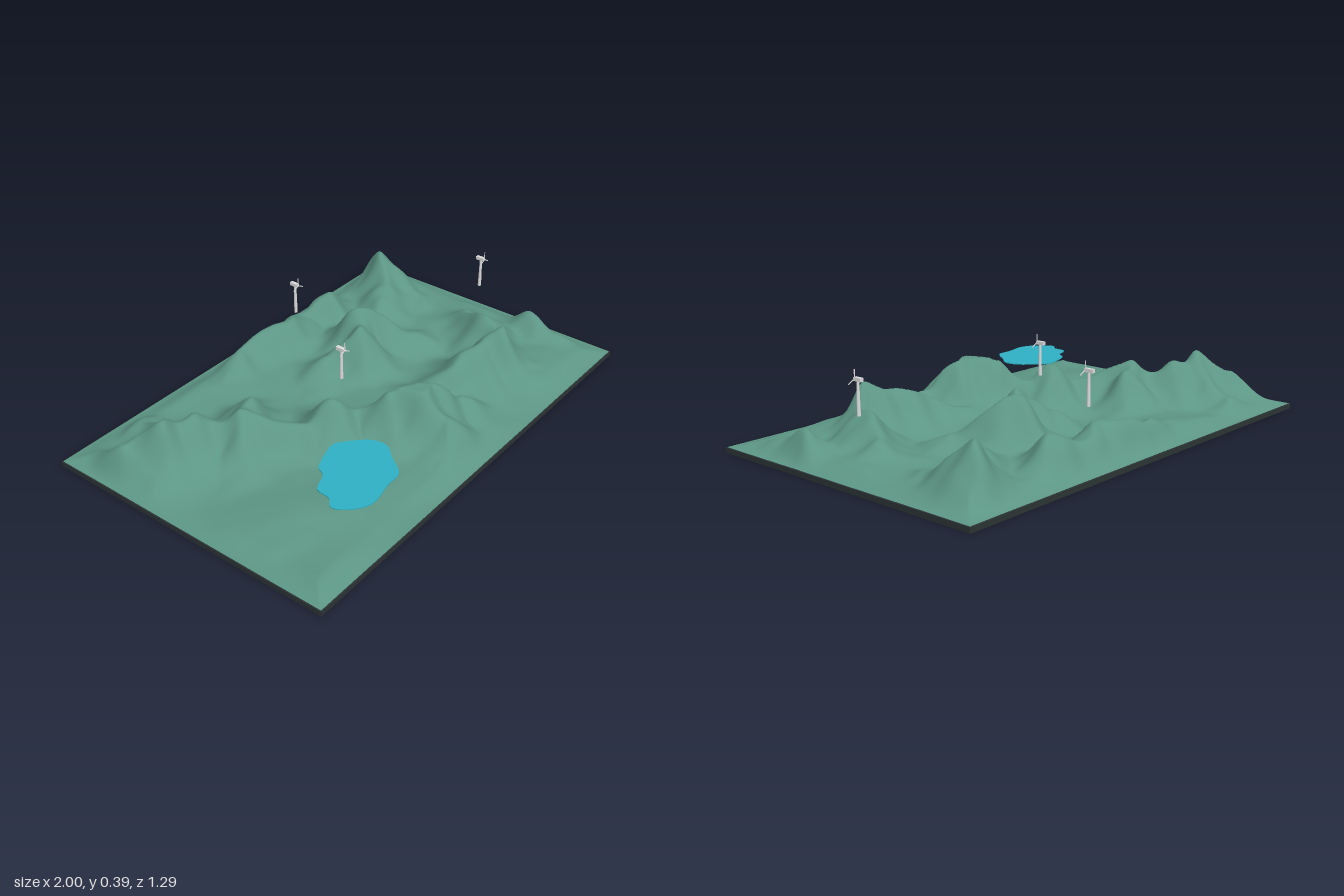
import * as THREE from 'three';

const mat = (name, color) => Object.assign(new THREE.MeshStandardMaterial({ color }), { name });

// Mountain crests: each is a line of [x, z, height]
const ridges = [
  [[-.9, -.4, .15], [-.77, -.31, .235], [-.7, -.29, .2], [-.64, -.27, .215], [-.58, -.19, .165], [-.53, -.13, .21],
    [-.36, .03, .14], [-.24, .09, .215], [-.16, .16, .15], [-.1, .25, .235], [0, .31, .28], [.06, .34, .24], [.17, .42, .13]],
  [[-.53, -.13, .18], [-.43, -.2, .2]],
  [[-.77, -.31, .19], [-.68, -.52, .09]],
  [[.08, -.2, .13], [.21, -.14, .235], [.26, -.17, .2], [.32, -.22, .245], [.5, -.06, .1]],
  [[.15, .18, .09], [.45, .32, .205], [.55, .33, .235], [.63, .28, .16], [.69, .2, .185], [.76, .04, .12]],
  [[.55, .33, .2], [.55, .5, .08]],
  [[.91, .27, .145], [.89, .42, .08]],
  [[-.3, -.49, .06], [-.1, -.54, .12], [.05, -.54, .15], [.18, -.49, .16], [.3, -.52, .12], [.43, -.5, .17]],
  [[.6, -.3, .13], [.7, -.37, .15], [.81, -.465, .215]],
  [[.81, -.465, .19], [.81, -.25, .07]],
  [[-.02, .34, .23], [-.04, .48, .17], [-.14, .56, .07]],
];

// Height of one crest at a point, falling off to both sides
function crest(line, x, z) {
  let best = 0;
  for (let i = 1; i < line.length; i++) {
    const [ax, az, ah] = line[i - 1], [bx, bz, bh] = line[i];
    const dx = bx - ax, dz = bz - az;
    const t = THREE.MathUtils.clamp(((x - ax) * dx + (z - az) * dz) / (dx * dx + dz * dz), 0, 1);
    const d = Math.hypot(x - ax - t * dx, z - az - t * dz);
    const s = t * t * (3 - 2 * t);
    best = Math.max(best, (ah + (bh - ah) * s) / Math.pow(1 + (d / 0.13) ** 1.7, 1.4));
  }
  return best;
}

function height(x, z) {
  // Gentle warping gives the slopes gullies
  const wx = x + 0.011 * Math.sin(23 * z + 7 * x) + 0.007 * Math.sin(47 * z - 19 * x);
  const wz = z + 0.011 * Math.sin(21 * x - 5 * z) + 0.007 * Math.sin(43 * x + 17 * z);
  // Rolling lowland
  const low = 0.046 + 0.01 * Math.sin(9 * wx + 4 * wz) + 0.008 * Math.sin(13 * wz - 6 * wx);
  let sum = low ** 6;
  for (const line of ridges) sum += crest(line, wx, wz) ** 6;
  const h = Math.min(Math.pow(sum, 1 / 6), 0.248);
  const edge = Math.min(0.996 - Math.abs(x), 0.641 - Math.abs(z));
  return 0.022 + Math.max(0, h - 0.022) * THREE.MathUtils.smoothstep(edge, -0.01, 0.105);
}

function makeTerrain(material) {
  const geo = new THREE.PlaneGeometry(1.992, 1.282, 200, 130).rotateX(-Math.PI / 2);
  const p = geo.attributes.position;
  for (let i = 0; i < p.count; i++) p.setY(i, height(p.getX(i), p.getZ(i)));
  geo.computeVertexNormals();
  const mesh = new THREE.Mesh(geo, material);
  mesh.name = 'mountainTerrain';
  return mesh;
}

// Thin sheet of water with a wavy shoreline
function makeLake(material) {
  const shore = [[-.42, .23], [-.38, .255], [-.31, .33], [-.303, .39], [-.35, .45], [-.41, .525], [-.48, .53], [-.6, .55],
    [-.67, .51], [-.705, .45], [-.67, .41], [-.66, .35], [-.585, .315], [-.56, .275], [-.49, .245]];
  const curve = new THREE.CatmullRomCurve3(shore.map(([x, z]) => new THREE.Vector3(x, -z, 0)), true);
  const shape = new THREE.Shape(curve.getPoints(60).slice(0, -1).map((v) => new THREE.Vector2(v.x, v.y)));
  const geo = new THREE.ExtrudeGeometry(shape, { depth: 0.004, bevelEnabled: false }).rotateX(-Math.PI / 2);
  const mesh = new THREE.Mesh(geo, material);
  mesh.name = 'lake';
  mesh.position.y = 0.166;
  return mesh;
}

function makeTurbine(x, base, hubY, z, material) {
  const turbine = new THREE.Group();
  turbine.name = 'windTurbine';
  turbine.position.set(x, base, z);
  const add = (name, geo, parent = turbine) => {
    const mesh = new THREE.Mesh(geo, material);
    mesh.name = name;
    parent.add(mesh);
    return mesh;
  };
  const h = hubY - base;
  add('tower', new THREE.CylinderGeometry(0.005, 0.0075, h, 12)).position.y = h / 2;
  add('nacelle', new THREE.BoxGeometry(0.015, 0.014, 0.038)).position.set(0, h, -0.003);
  const rotor = new THREE.Group();
  rotor.name = 'rotor';
  rotor.position.set(0, h, 0.017);
  turbine.add(rotor);
  add('hub', new THREE.SphereGeometry(0.005, 12, 8), rotor);
  for (let i = 0; i < 3; i++) {
    const blade = add('blade', new THREE.BoxGeometry(0.004, 0.034, 0.002).translate(0, 0.017, 0), rotor);
    blade.rotation.z = i * Math.PI * 2 / 3;
  }
  return turbine;
}

export function createModel() {
  const ground = mat('mountain green', 0x5d9685);
  const water = mat('lake blue', 0x30b0c4);
  const dark = mat('base charcoal', 0x2b3334);
  const white = mat('turbine light grey', 0xdcdcdc);

  const model = new THREE.Group();
  model.name = 'mountainLandscape';
  const base = new THREE.Mesh(new THREE.BoxGeometry(2, 0.021, 1.29), dark);
  base.name = 'basePlate';
  base.position.y = 0.0105;
  model.add(base, makeTerrain(ground), makeLake(water));
  model.add(
    makeTurbine(-0.1, 0.205, 0.341, 0.014, white),
    makeTurbine(0.17, 0.21, 0.346, -0.453, white),
    makeTurbine(0.84, 0.22, 0.354, 0.052, white),
  );
  return model;
}
